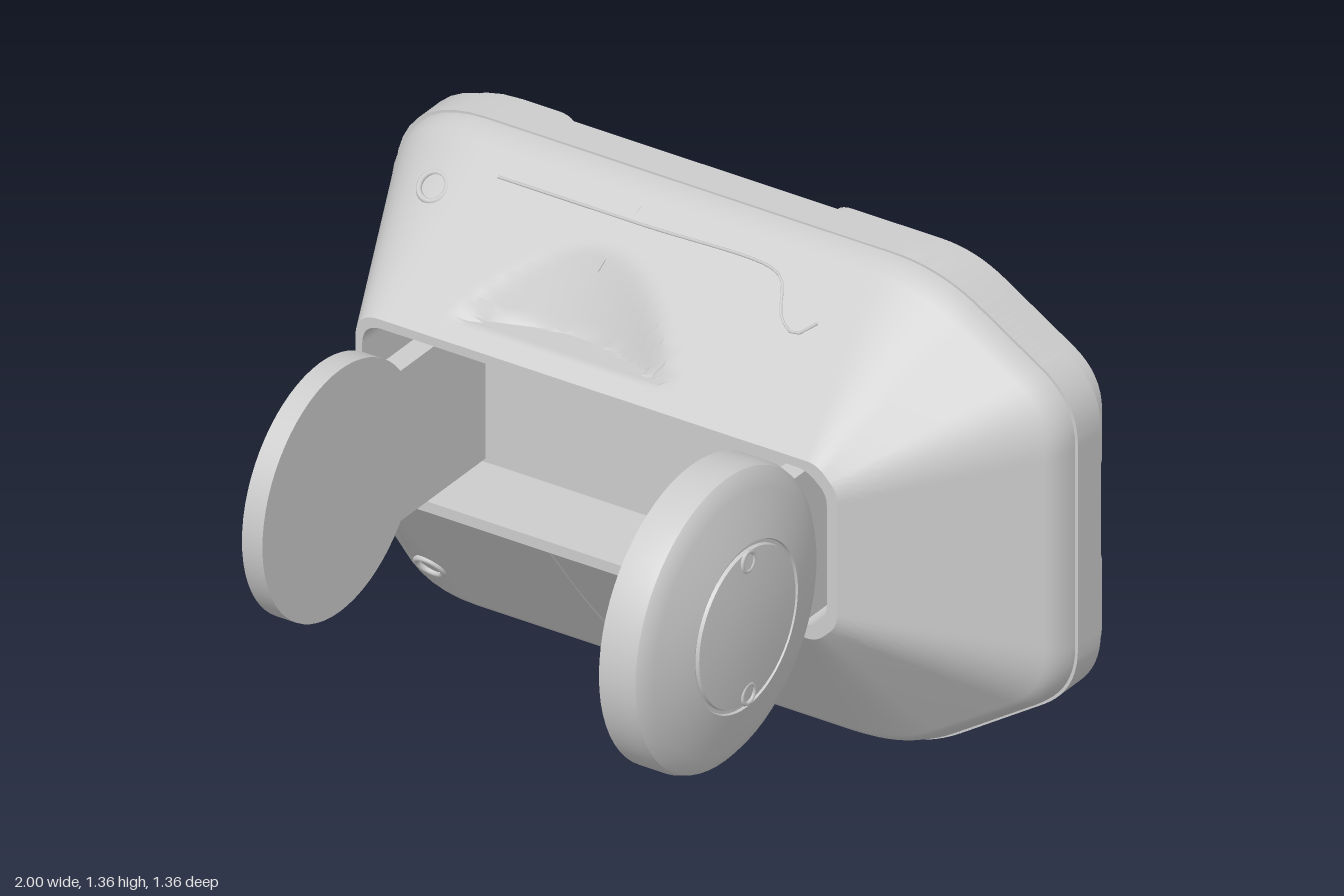
import * as THREE from 'three';
import { toCreasedNormals } from 'three/addons/utils/BufferGeometryUtils.js';

const V2 = (x, y) => new THREE.Vector2(x, y);
const V3 = (x, y, z) => new THREE.Vector3(x, y, z);

// Closed loop from corners [x, y, cut]; every corner is rounded by a quadratic curve
function roundedLoop(corners, arc = 8, edge = 1) {
  const out = [], n = corners.length;
  const ends = corners.map(([x, y, d], i) => {
    const p = V2(x, y);
    const toward = (c) => V2(c[0], c[1]).sub(p).normalize().multiplyScalar(d).add(p);
    return [toward(corners[(i + n - 1) % n]), p, toward(corners[(i + 1) % n])];
  });
  ends.forEach(([a, p, b], i) => {
    out.push(...new THREE.QuadraticBezierCurve(a, p, b).getPoints(arc));
    const next = ends[(i + 1) % n][0];
    for (let k = 1; k < edge; k++) out.push(b.clone().lerp(next, k / edge));
  });
  return out;
}

// Skin over matching rows of points, with a fan cap at both ends
function loft(rows) {
  const n = rows[0].length, pos = rows.flat().flatMap((p) => [p.x, p.y, p.z]), idx = [];
  for (let i = 0; i < rows.length - 1; i++) {
    for (let j = 0; j < n; j++) {
      const a = i * n + j, b = i * n + (j + 1) % n;
      idx.push(a, b, b + n, a, b + n, a + n);
    }
  }
  [rows[0], rows[rows.length - 1]].forEach((row, e) => {
    const c = row.reduce((s, p) => s.add(p), V3(0, 0, 0)).divideScalar(n);
    const ci = pos.length / 3, base = e ? (rows.length - 1) * n : 0;
    pos.push(c.x, c.y, c.z);
    for (let j = 0; j < n; j++) {
      const a = base + j, b = base + (j + 1) % n;
      idx.push(...(e ? [ci, a, b] : [ci, b, a]));
    }
  });
  const g = new THREE.BufferGeometry();
  g.setAttribute('position', new THREE.Float32BufferAttribute(pos, 3));
  g.setIndex(idx);
  return toCreasedNormals(g, 0.5);
}

export function createModel() {
  const model = new THREE.Group();
  const mat = new THREE.MeshStandardMaterial({ color: 0xcccccc });
  const add = (name, geo, parent = model) => {
    const m = new THREE.Mesh(geo, mat);
    m.name = name;
    parent.add(m);
    return m;
  };

  // Housing: base outline, front rim and recess opening, corner for corner
  const ring = (c) => roundedLoop(c, 10, 40);
  const base = ring([[-1, 1.36, 0.27], [-1, 0, 0.27], [0.54, 0, 0.14],
    [1, 0.3, 0.12], [1, 1.11, 0.12], [0.6, 1.36, 0.14]]);
  const rim = ring([[-0.84, 0.975, 0.07], [-0.84, 0.48, 0.07], [0.51, 0.48, 0.03],
    [0.57, 0.54, 0.03], [0.57, 0.915, 0.03], [0.51, 0.975, 0.03]]);
  const opening = ring([[-0.82, 0.95, 0.06], [-0.82, 0.51, 0.06], [0.48, 0.51, 0.03],
    [0.54, 0.56, 0.03], [0.54, 0.9, 0.03], [0.48, 0.95, 0.03]]);
  const at = (loop, z, sx = 1, sy = sx) =>
    loop.map((p) => V3(p.x * sx, 0.68 + (p.y - 0.68) * sy, z));
  const rows = [
    at(base, -0.64, 0.975, 0.965), at(base, -0.63, 0.975, 0.965), at(base, -0.63),
    at(base, -0.53), at(base, -0.53, 0.992), at(base, -0.51, 0.99, 0.988),
    at(base, -0.485, 0.982, 0.975),
  ];
  const shoulder = at(base, -0.46, 0.97, 0.952), front = at(rim, -0.12);
  for (let i = 0; i <= 30; i++) {
    const row = shoulder.map((p, j) => p.clone().lerp(front[j], i / 30));
    // Scooped notch in the upper slope
    row.forEach((p) => {
      const u = (p.x + 0.27) / 0.34;
      if (p.y < 0.98 || Math.abs(u) > 1.2) return;
      const wall = -0.26 + 0.12 * u * u;
      p.y = Math.min(p.y, 1.015 + Math.max(0, wall - p.z) * 2.1);
    });
    rows.push(row);
  }
  rows.push(at(opening, -0.12), at(opening, -0.36));
  add('housing', loft(rows));

  // Raised pads on the back
  const pads = {
    upperLeftPad: [[0.18, 1.34, 0.06], [0.6, 1.34, 0.1], [0.97, 1.11, 0.1], [0.97, 0.82, 0.06],
      [0.78, 0.82, 0.06], [0.78, 1.0, 0.06], [0.6, 1.1, 0.08], [0.18, 1.1, 0.06]],
    lowerLeftPad: [[0.18, 0.03, 0.06], [0.54, 0.03, 0.1], [0.97, 0.31, 0.1], [0.97, 0.64, 0.06],
      [0.8, 0.64, 0.06], [0.76, 0.5, 0.06], [0.45, 0.27, 0.1], [0.18, 0.27, 0.06]],
    upperRightPad: [[-0.56, 1.34, 0.06], [-0.975, 1.34, 0.25], [-0.975, 0.82, 0.06],
      [-0.75, 0.82, 0.06], [-0.75, 1.06, 0.06], [-0.56, 1.06, 0.06]],
    lowerRightPad: [[-0.56, 0.03, 0.06], [-0.975, 0.03, 0.25], [-0.975, 0.64, 0.06],
      [-0.75, 0.64, 0.06], [-0.75, 0.31, 0.06], [-0.56, 0.31, 0.06]],
  };
  for (const [name, corners] of Object.entries(pads)) {
    const geo = new THREE.ExtrudeGeometry(new THREE.Shape(roundedLoop(corners)),
      { depth: 0.045, bevelEnabled: false });
    add(name, toCreasedNormals(geo, 0.5)).position.z = -0.68;
  }

  // Arms that carry the two discs
  for (const [name, x] of [['rightArm', -0.65], ['leftArm', 0.44]]) {
    add(name, new THREE.BoxGeometry(0.06, 0.42, 0.41)).position.set(x, 0.73, -0.16);
  }
  const disc = add('rightDisc', new THREE.CylinderGeometry(0.338, 0.338, 0.06, 64));
  disc.rotation.z = Math.PI / 2;
  disc.position.set(-0.65, 0.73, 0.275);

  // Hollow domed cap with a circular groove, its axis along x
  const cap = new THREE.Group();
  cap.name = 'leftCap';
  cap.position.set(0, 0.73, 0.28);
  model.add(cap);
  const profile = [[0, 0.5], [0.34, 0.5], [0.365, 0.48], [0.365, 0.41], [0.4, 0.41], [0.4, 0.49],
    [0.393, 0.512], [0.375, 0.527], [0.345, 0.537], [0.29, 0.556], [0.225, 0.573],
    [0.222, 0.567], [0.213, 0.567], [0.21, 0.576], [0.12, 0.586], [0, 0.59]];
  const shell = add('capShell', toCreasedNormals(
    new THREE.LatheGeometry(profile.map(([r, x]) => V2(r, x)), 64), 0.5), cap);
  shell.rotation.z = -Math.PI / 2;
  for (const y of [-0.1, 0.1]) {
    add('capRib', new THREE.BoxGeometry(0.06, 0.03, 0.68), cap).position.set(0.475, y, 0);
  }
  for (const y of [-0.185, 0.185]) {
    const ringMesh = add('capScrewRim', new THREE.TorusGeometry(0.026, 0.006, 8, 24), cap);
    ringMesh.rotation.y = Math.PI / 2;
    ringMesh.position.set(0.578, y, 0);
  }

  // Screw rims on the slopes of the housing
  for (const [y, z, tilt] of [[1.225, -0.37, -0.8], [0.17, -0.355, 0.65]]) {
    const r = add('housingScrewRim', new THREE.TorusGeometry(0.038, 0.008, 8, 24));
    r.rotation.x = tilt;
    r.position.set(-0.78, y, z);
  }

  // Fine seam and trim lines
  const line = (name, pts) => add(name,
    new THREE.TubeGeometry(new THREE.CatmullRomCurve3(pts.map((p) => V3(...p))), 40, 0.004, 6));
  line('upperSeam', [[-0.27, 1.17, -0.325], [-0.25, 1.24, -0.385], [-0.22, 1.31, -0.447]]);
  line('lowerSeam', [[-0.27, 0.482, -0.12], [-0.27, 0.27, -0.282], [-0.25, 0.13, -0.388],
    [-0.22, 0.045, -0.452]]);
  const slopeY = (z) => 0.975 - (z + 0.12) * 1.04;
  line('upperTrim', [[-0.62, -0.415], [-0.2, -0.415], [0.18, -0.415], [0.22, -0.4],
    [0.26, -0.34], [0.31, -0.32], [0.36, -0.35]].map(([x, z]) => [x, slopeY(z), z]));
  return model;
}
